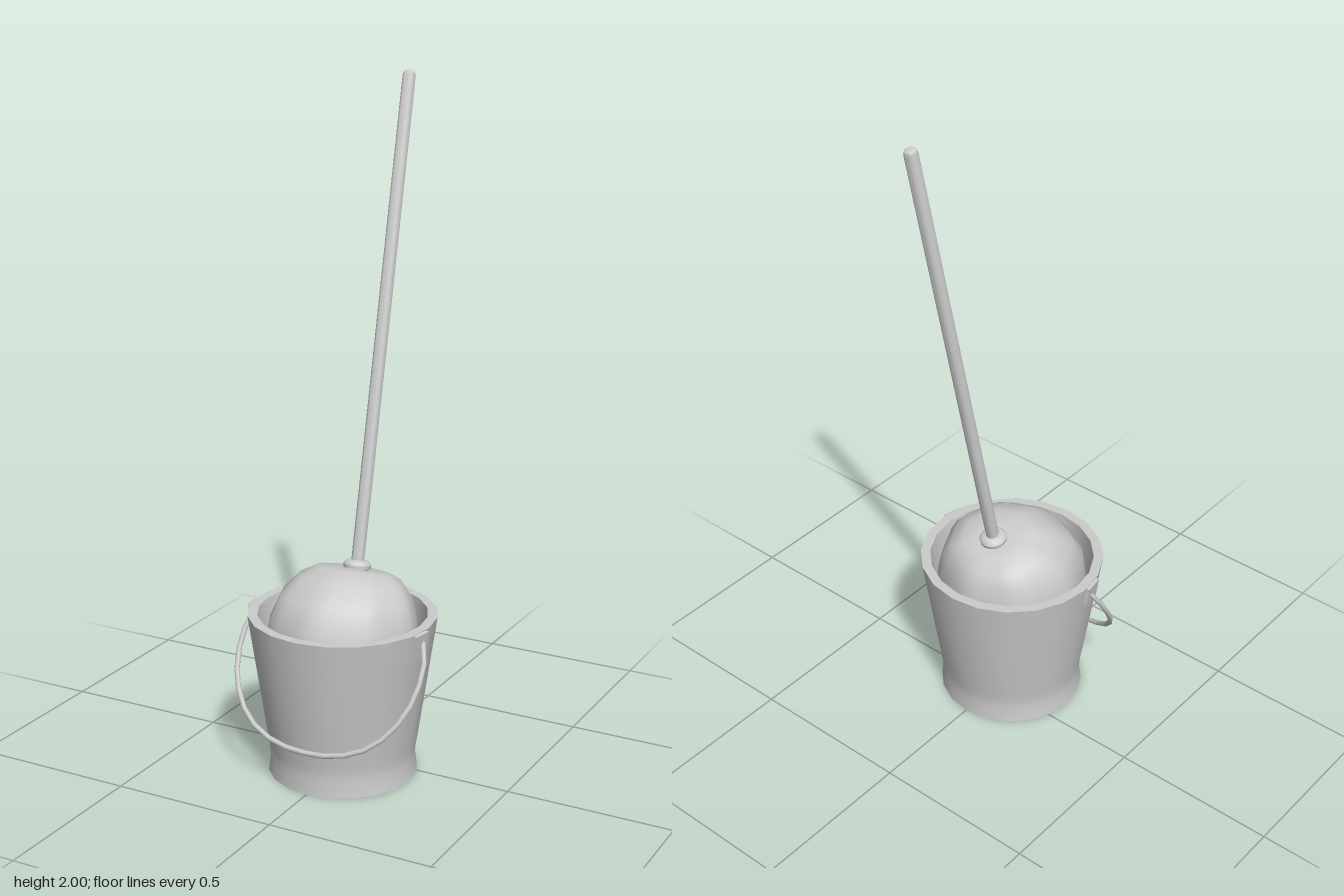
import * as THREE from 'three';
import { toCreasedNormals } from 'three/addons/utils/BufferGeometryUtils.js';

const material = new THREE.MeshStandardMaterial({ color: 0xcccccc });
const BUCKET_Z = 0.072;

function add(parent, name, geometry, creased = true) {
  const mesh = new THREE.Mesh(creased ? toCreasedNormals(geometry, 0.6) : geometry, material);
  mesh.name = name;
  parent.add(mesh);
  return mesh;
}

const lathe = (points, sides) =>
  new THREE.LatheGeometry(points.map(([r, y]) => new THREE.Vector2(r, y)), sides);

// Mop head: lopsided, softly pleated rings from the handle joint down into the bucket
function mopHeadGeometry() {
  // y at back, y at front, z at back, z at front, half width
  const rings = [
    [0.588, 0.59, -0.02, -0.005, 0.008],
    [0.582, 0.608, -0.05, 0.035, 0.05],
    [0.570, 0.622, -0.09, 0.1, 0.11],
    [0.545, 0.602, -0.125, 0.17, 0.158],
    [0.505, 0.555, -0.142, 0.24, 0.197],
    [0.46, 0.49, -0.154, 0.287, 0.217],
    [0.38, 0.38, -0.16, 0.304, 0.232],
    [0.2, 0.2, -0.128, 0.272, 0.2],
    [0.07, 0.07, -0.08, 0.22, 0.15],
  ];
  const n = 32, positions = [], index = [];
  rings.forEach(([yb, yf, zb, zf, hx], i) => {
    for (let j = 0; j < n; j++) {
      const a = (j / n) * Math.PI * 2;
      const pleat = 1 - 0.022 * (1 - Math.cos(a * 8)) * Math.min(1, i / 2);
      const c = Math.cos(a) * pleat, s = Math.sin(a) * pleat;
      positions.push(hx * s, (yb + yf) / 2 + ((yf - yb) / 2) * c, (zb + zf) / 2 + ((zf - zb) / 2) * c);
      if (i < rings.length - 1) {
        const k = (j + 1) % n, p = i * n, q = p + n;
        index.push(p + j, q + j, p + k, q + j, q + k, p + k);
      }
    }
  });
  const g = new THREE.BufferGeometry();
  g.setAttribute('position', new THREE.Float32BufferAttribute(positions, 3));
  g.setIndex(index);
  g.computeVertexNormals();
  return g;
}

export function createModel() {
  const model = new THREE.Group();
  model.name = 'mopAndBucket';

  // Bucket with recessed base, flared foot, thick rim and inner wall
  add(model, 'bucket', lathe([
    [0, 0.06], [0.187, 0.06], [0.19, 0], [0.22, 0], [0.214, 0.05], [0.216, 0.08],
    [0.222, 0.115], [0.277, 0.487], [0.248, 0.487], [0.193, 0.075], [0, 0.075],
  ], 20)).position.z = BUCKET_Z;

  // Handle brackets lying on the bucket wall
  for (const side of [1, -1]) {
    const turn = new THREE.Group();
    turn.name = side > 0 ? 'leftBracket' : 'rightBracket';
    turn.position.z = BUCKET_Z;
    turn.rotation.y = side > 0 ? -Math.PI / 20 : Math.PI + Math.PI / 20;
    const plate = add(turn, 'bracketPlate', new THREE.BoxGeometry(0.018, 0.066, 0.06));
    plate.position.set(0.27, 0.452, 0);
    plate.rotation.z = -0.147;
    model.add(turn);
  }

  // Bail hanging forward against the front of the bucket
  const half = [[0.274, 0.455], [0.293, 0.41], [0.295, 0.35], [0.279, 0.285], [0.236, 0.217], [0.17, 0.168], [0.088, 0.142]];
  const toPoint = ([x, y]) => new THREE.Vector3(x, y, 0.103 + (0.455 - y) * 0.62);
  const path = [
    ...half.map(([x, y]) => toPoint([-x, y])),
    toPoint([0, 0.135]),
    ...half.slice().reverse().map(toPoint),
  ];
  add(model, 'bail', new THREE.TubeGeometry(new THREE.CatmullRomCurve3(path), 18, 0.008, 8), false);

  add(model, 'mopHead', mopHeadGeometry(), false);

  // Leaning handle with rounded tip, and the collar joining it to the mop head
  const stick = new THREE.Group();
  stick.name = 'mopStick';
  stick.position.set(0, 0.58, -0.012);
  stick.rotation.x = -0.222;
  model.add(stick);
  add(stick, 'handle', lathe([
    [0, -0.03], [0.019, -0.03], [0.019, 1.442], [0.016, 1.451], [0.009, 1.456], [0, 1.458],
  ], 16));
  add(stick, 'collar', lathe([
    [0.017, -0.01], [0.032, -0.01], [0.032, 0.008], [0.04, 0.014], [0.041, 0.024], [0.036, 0.032], [0.03, 0.036], [0.017, 0.038],
  ], 16));

  return model;
}
